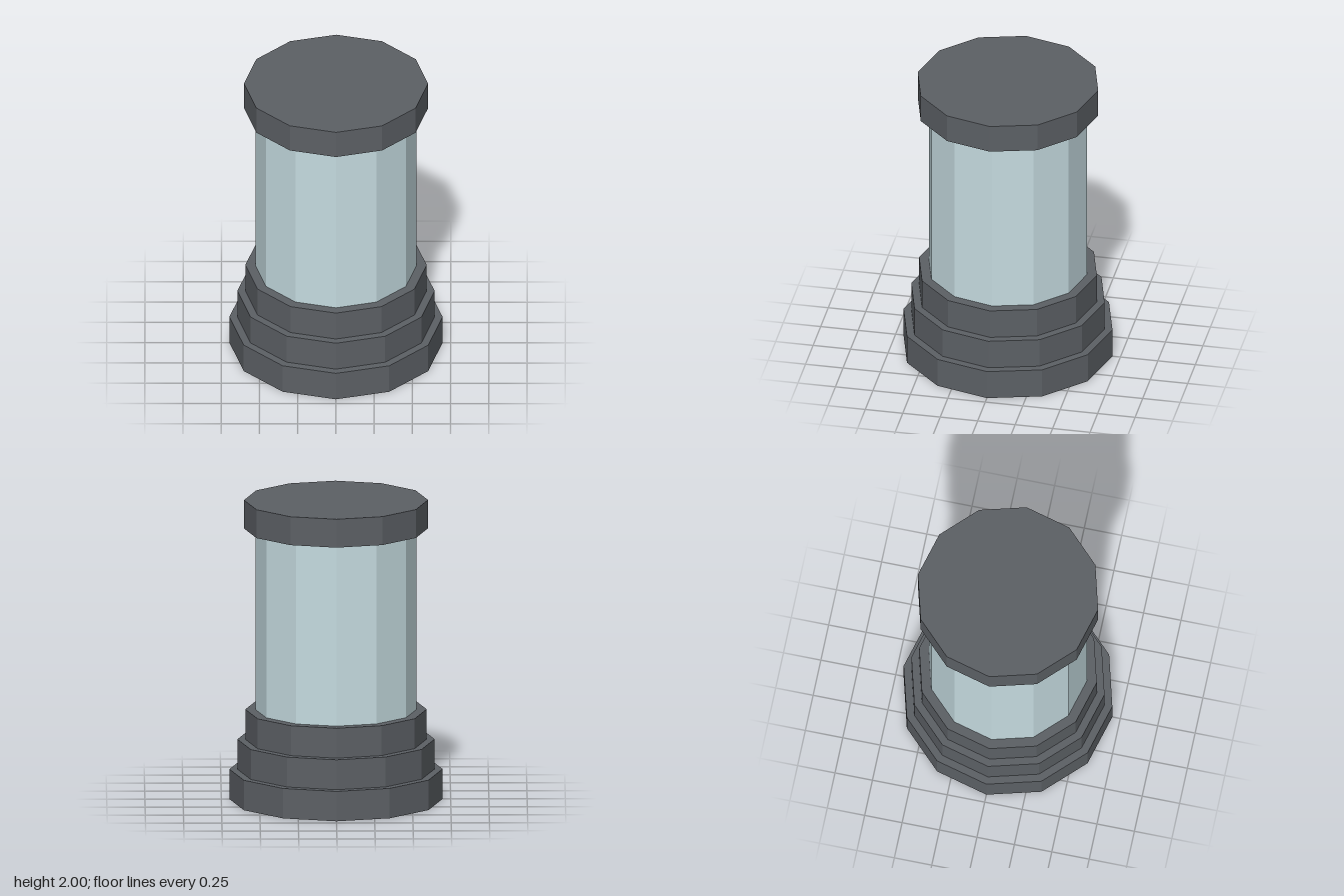
import * as THREE from 'three';

export function createModel() {
  const group = new THREE.Group();
  group.name = 'lantern';

  const darkMetal = new THREE.MeshStandardMaterial({ color: 0x5c6065, flatShading: true });
  darkMetal.name = 'dark metal';
  const paleGlass = new THREE.MeshStandardMaterial({ color: 0xc5dbe0, flatShading: true });
  paleGlass.name = 'pale glass';

  // Twelve-sided drum between two heights, corners on the x and z axes
  function drum(name, radius, bottom, top, material) {
    const geometry = new THREE.CylinderGeometry(radius, radius, top - bottom, 12);
    const mesh = new THREE.Mesh(geometry, material);
    mesh.name = name;
    mesh.position.y = (bottom + top) / 2;
    group.add(mesh);
  }

  // Stepped base
  drum('baseLowerStep', 0.697, 0, 0.2, darkMetal);
  drum('baseMiddleStep', 0.645, 0.2, 0.4, darkMetal);
  drum('baseUpperStep', 0.593, 0.4, 0.6, darkMetal);

  // Glass body and cap
  drum('glassBody', 0.528, 0.6, 1.81, paleGlass);
  drum('cap', 0.602, 1.81, 2, darkMetal);

  return group;
}
